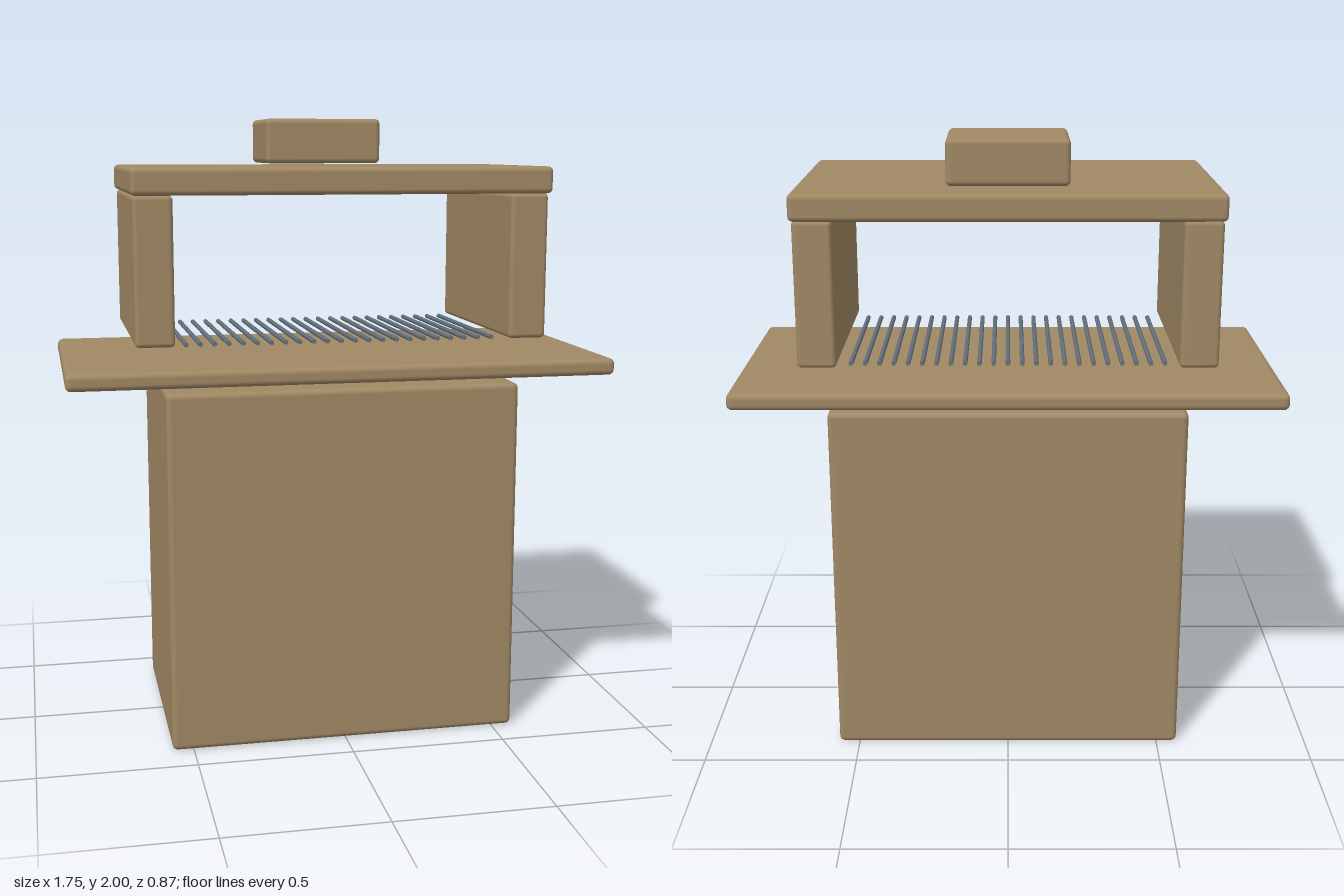
import * as THREE from 'three';
import { RoundedBoxGeometry } from 'three/addons/geometries/RoundedBoxGeometry.js';

export function createModel() {
  const model = new THREE.Group();
  model.name = 'outdoorGrill';

  const stone = new THREE.MeshStandardMaterial({ color: 0xa08864 });
  stone.name = 'tan stone';
  const steel = new THREE.MeshStandardMaterial({ color: 0x64707c });
  steel.name = 'grey steel';

  // Softly rounded block given by its low and high corners
  function block(name, [x0, y0, z0], [x1, y1, z1], radius) {
    const geometry = new RoundedBoxGeometry(x1 - x0, y1 - y0, z1 - z0, 3, radius);
    const mesh = new THREE.Mesh(geometry, stone);
    mesh.name = name;
    mesh.position.set((x0 + x1) / 2, (y0 + y1) / 2, (z0 + z1) / 2);
    model.add(mesh);
  }

  // Pedestal and overhanging worktop, with a narrow gap between them
  block('base', [-0.568, 0, -0.384], [0.568, 1.162, 0.384], 0.018);
  block('worktop', [-0.873, 1.186, -0.437], [0.873, 1.24, 0.437], 0.018);

  // Side walls of the open fire chamber
  block('rightWall', [-0.656, 1.305, -0.37], [-0.534, 1.765, 0.37], 0.014);
  block('leftWall', [0.534, 1.305, -0.37], [0.656, 1.765, 0.37], 0.014);

  // Roof slab and chimney, which sits towards the back
  block('roof', [-0.663, 1.765, -0.393], [0.663, 1.849, 0.393], 0.016);
  block('chimney', [-0.191, 1.856, -0.284], [0.191, 2, 0.02], 0.016);

  // Grate of thin parallel rods running front to back
  const grate = new THREE.Group();
  grate.name = 'grate';
  const rodGeometry = new THREE.CylinderGeometry(0.0075, 0.0075, 0.615, 10);
  rodGeometry.rotateX(Math.PI / 2);
  const rodCount = 23;
  for (let i = 0; i < rodCount; i++) {
    const rod = new THREE.Mesh(rodGeometry, steel);
    rod.name = 'grateRod';
    rod.position.set((i - (rodCount - 1) / 2) * 0.045, 1.304, 0);
    grate.add(rod);
  }
  model.add(grate);

  return model;
}
